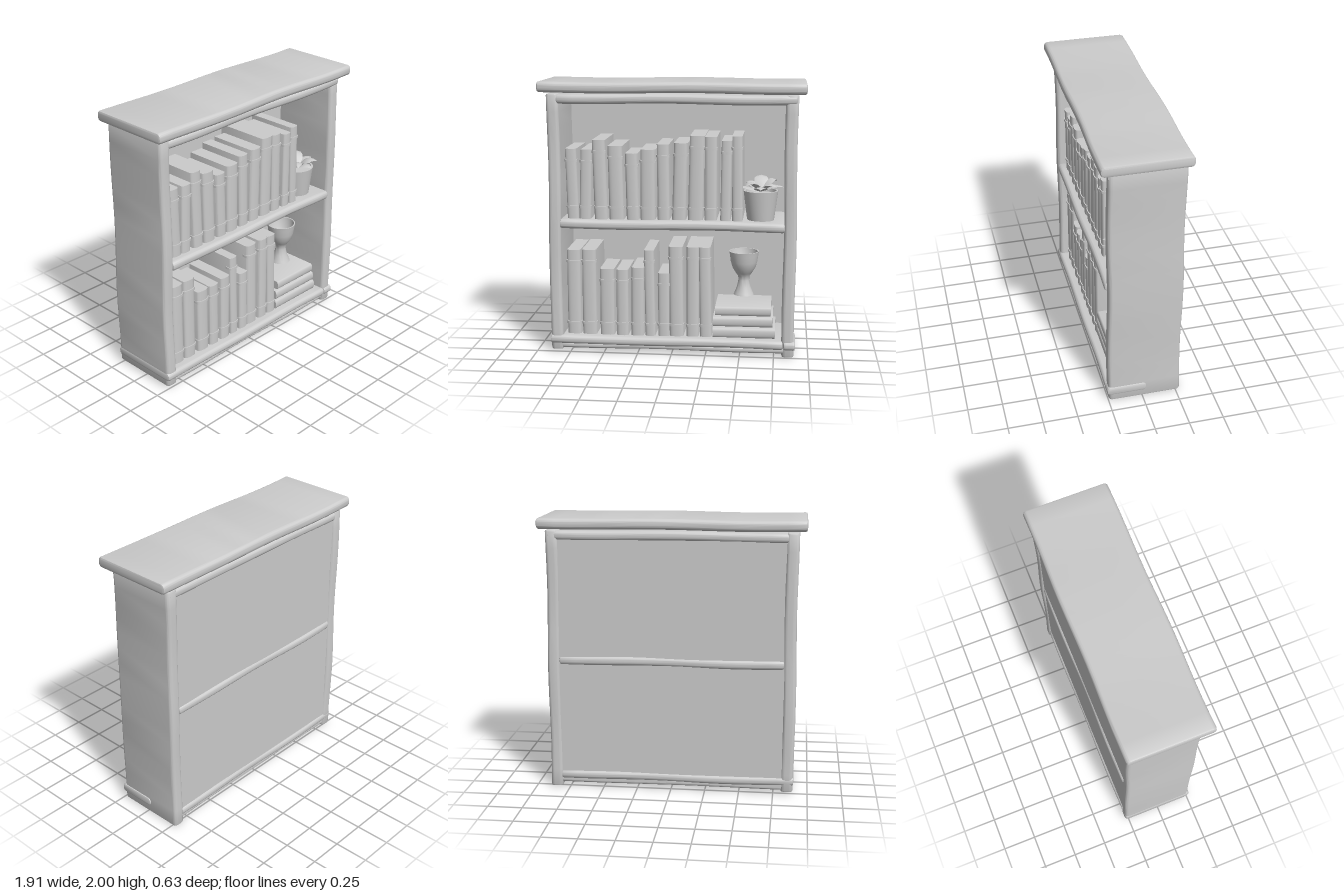
import * as THREE from 'three';
import { toCreasedNormals } from 'three/addons/utils/BufferGeometryUtils.js';

const material = new THREE.MeshStandardMaterial({ color: 0xcccccc });
const thinMaterial = new THREE.MeshStandardMaterial({ color: 0xcccccc, side: THREE.DoubleSide });

function addMesh(parent, name, geometry, mat = material) {
  const mesh = new THREE.Mesh(geometry, mat);
  mesh.name = name;
  parent.add(mesh);
  return mesh;
}

function roundedRect(w, h, r) {
  const s = new THREE.Shape(), x = w / 2, y = h / 2;
  s.moveTo(-x + r, -y);
  s.lineTo(x - r, -y).absarc(x - r, -y + r, r, -Math.PI / 2, 0, false);
  s.lineTo(x, y - r).absarc(x - r, y - r, r, 0, Math.PI / 2, false);
  s.lineTo(-x + r, y).absarc(-x + r, y - r, r, Math.PI / 2, Math.PI, false);
  s.lineTo(-x, -y + r).absarc(-x + r, -y + r, r, Math.PI, Math.PI * 1.5, false);
  return s;
}

// Soft-edged plank between two corners, running along x or y, with a hand-cut waviness
function plank(parent, name, axis, min, max, wave = 0.005, phase = 0, r = 0.028) {
  const size = max.map((v, i) => v - min[i]);
  const along = axis === 'x' ? 0 : 1;
  const section = axis === 'x' ? roundedRect(size[2], size[1], r) : roundedRect(size[0], size[2], r);
  const bevel = r * 0.5, length = size[along];
  const g = new THREE.ExtrudeGeometry(section, {
    depth: length - 2 * bevel, steps: 16, curveSegments: 4,
    bevelSize: bevel, bevelThickness: bevel, bevelOffset: -bevel, bevelSegments: 2,
  });
  g.translate(0, 0, bevel - length / 2);
  if (axis === 'x') g.rotateY(Math.PI / 2);
  else g.rotateX(-Math.PI / 2);
  const p = g.attributes.position;
  for (let i = 0; i < p.count; i++) {
    const t = along === 0 ? p.getX(i) : p.getY(i);
    const a = wave * Math.sin(t * 5 + phase), b = wave * Math.sin(t * 6.5 + phase * 2 + 1);
    if (along === 0) p.setXYZ(i, t, p.getY(i) + a, p.getZ(i) + b);
    else p.setXYZ(i, p.getX(i) + a, t, p.getZ(i) + b);
  }
  g.translate(...max.map((v, i) => (v + min[i]) / 2));
  addMesh(parent, name, toCreasedNormals(g, 0.7));
}

// Upright block with a rounded spine towards +z, standing on y = 0
function spineBlock(w, h, front, back) {
  const s = new THREE.Shape(), x = w / 2, bulge = Math.min(0.02, w * 0.2);
  s.moveTo(-x, back);
  s.lineTo(x, back).lineTo(x, front - bulge);
  s.quadraticCurveTo(x * 0.9, front, 0, front);
  s.quadraticCurveTo(-x * 0.9, front, -x, front - bulge);
  const g = new THREE.ExtrudeGeometry(s, { depth: h, bevelEnabled: false, curveSegments: 4 });
  g.rotateX(Math.PI / 2).translate(0, h, 0);
  return g;
}

// Book with two raised bands across its spine, leaning sideways by a shear
function makeBook(w, h, lean, depth) {
  const book = new THREE.Group();
  book.name = 'book';
  const shear = new THREE.Matrix4().makeShear(0, 0, lean / h, 0, 0, 0);
  const part = (name, g) => {
    const p = g.attributes.position;
    for (let i = 0; i < p.count; i++) p.setX(i, p.getX(i) + lean * p.getY(i) / h);
    addMesh(book, name, toCreasedNormals(g, 0.6));
  };
  part('bookBody', spineBlock(w, h, 0.2, 0.2 - depth));
  for (const y of [0.08, h - 0.095]) {
    part('spineBand', spineBlock(w + 0.008, 0.018, 0.207, 0.15).translate(0, y, 0));
  }
  return book;
}

export function createModel() {
  const model = new THREE.Group();
  model.name = 'bookcase';

  // Carcass
  const frame = new THREE.Group();
  frame.name = 'frame';
  model.add(frame);
  plank(frame, 'topSlab', 'x', [-0.955, 1.92, -0.31], [0.955, 1.997, 0.31], 0.004, 1, 0.03);
  plank(frame, 'rightSide', 'y', [-0.898, 0.015, -0.28], [-0.808, 1.91, 0.25], 0.004, 0);
  plank(frame, 'leftSide', 'y', [0.808, 0, -0.28], [0.898, 1.91, 0.25], 0.004, 2);
  plank(frame, 'topRail', 'x', [-0.83, 1.84, -0.28], [0.89, 1.908, 0.255], 0.004, 2);
  plank(frame, 'middleShelf', 'x', [-0.815, 0.93, -0.28], [0.815, 0.998, 0.255], 0.004, 0.5);
  plank(frame, 'bottomShelf', 'x', [-0.898, 0.06, -0.28], [0.815, 0.125, 0.262], 0.003, 0);
  plank(frame, 'basePanel', 'x', [-0.83, 0.03, -0.265], [0.83, 0.075, 0.245], 0.003, 2, 0.018);
  plank(frame, 'cornerTrim', 'x', [0.82, 0.055, -0.03], [0.905, 0.12, 0.262], 0, 0);
  addMesh(frame, 'backPanel', new THREE.BoxGeometry(1.66, 1.82, 0.025)).position.set(0, 0.96, -0.255);

  // Standing books: [centre x, lean, width, top y, depth]
  const rows = [
    { base: 0.995, books: [
      [-0.725, -0.013, 0.083, 1.51, 0.38], [-0.638, 0.016, 0.085, 1.505, 0.38],
      [-0.519, -0.015, 0.095, 1.575, 0.42], [-0.405, -0.01, 0.106, 1.533, 0.4],
      [-0.286, -0.01, 0.09, 1.48, 0.36], [-0.177, 0.002, 0.108, 1.51, 0.38],
      [-0.061, -0.005, 0.088, 1.55, 0.38], [0.05, 0.015, 0.1, 1.56, 0.38],
      [0.169, 0.014, 0.108, 1.613, 0.42], [0.28, 0, 0.088, 1.607, 0.42],
      [0.386, 0.008, 0.073, 1.58, 0.38], [0.474, -0.006, 0.074, 1.613, 0.4]] },
    { base: 0.122, books: [
      [-0.728, 0, 0.1, 0.762, 0.38], [-0.614, 0, 0.105, 0.765, 0.38],
      [-0.481, 0, 0.106, 0.623, 0.34], [-0.368, 0, 0.088, 0.62, 0.34],
      [-0.257, 0.005, 0.092, 0.638, 0.34], [-0.16, -0.01, 0.073, 0.77, 0.38],
      [-0.06, 0, 0.085, 0.6, 0.32], [0.034, -0.008, 0.103, 0.8, 0.4],
      [0.152, 0, 0.09, 0.8, 0.4], [0.25, -0.012, 0.085, 0.8, 0.4]] },
  ];
  for (const row of rows) {
    for (const [x, lean, w, top, depth] of row.books) {
      const book = makeBook(w, top - row.base, lean, depth);
      book.position.set(x, row.base, 0);
      model.add(book);
    }
  }

  // Lying books: [x start, x end, y bottom, y top]
  for (const [x0, x1, y0, y1] of [[0.3, 0.757, 0.125, 0.197], [0.302, 0.74, 0.21, 0.28], [0.318, 0.725, 0.293, 0.36]]) {
    const g = spineBlock(y1 - y0, x1 - x0, 0.2, -0.16).rotateZ(-Math.PI / 2);
    addMesh(model, 'lyingBook', toCreasedNormals(g, 0.6)).position.set(x0, (y0 + y1) / 2, 0);
  }

  // Goblet
  const gobletProfile = [[0, 0], [0.074, 0], [0.068, 0.015], [0.05, 0.06], [0.04, 0.11], [0.042, 0.14],
    [0.06, 0.165], [0.085, 0.205], [0.098, 0.25], [0.105, 0.3], [0.11, 0.328], [0.101, 0.328],
    [0.088, 0.25], [0.06, 0.195], [0, 0.175]];
  const goblet = new THREE.LatheGeometry(gobletProfile.map(([r, y]) => new THREE.Vector2(r, y)), 28);
  addMesh(model, 'goblet', toCreasedNormals(goblet, 0.8)).position.set(0.52, 0.42, 0.04);

  // Potted plant
  const plant = new THREE.Group();
  plant.name = 'pottedPlant';
  plant.position.set(0.638, 0.995, 0.08);
  model.add(plant);
  const potProfile = [[0, 0], [0.098, 0], [0.126, 0.215], [0.112, 0.215], [0.108, 0.19], [0, 0.19]];
  const pot = new THREE.LatheGeometry(potProfile.map(([r, y]) => new THREE.Vector2(r, y)), 24);
  addMesh(plant, 'pot', toCreasedNormals(pot, 0.6));

  // Arching pointed leaves: [length, rise]
  const leaves = [[0.17, 0.05], [0.16, 0.09], [0.14, 0.11], [0.16, 0.07], [0.2, 0.04], [0.15, 0.08], [0.15, 0.05], [0.16, 0.07]];
  leaves.forEach(([length, rise], i) => {
    const g = new THREE.PlaneGeometry(1, 1, 6, 2).rotateX(-Math.PI / 2);
    const p = g.attributes.position;
    for (let k = 0; k < p.count; k++) {
      const t = p.getX(k) + 0.5, side = p.getZ(k) * 2;
      const width = 0.05 * Math.sin(Math.PI * Math.pow(t, 0.8));
      p.setXYZ(k, t * length, rise * Math.sin(t * 2.4) - Math.abs(side) * width * 0.25, side * width);
    }
    g.computeVertexNormals();
    const leaf = addMesh(plant, 'leaf', g, thinMaterial);
    leaf.position.y = 0.205;
    leaf.rotation.y = (i / leaves.length) * Math.PI * 2;
  });

  return model;
}
